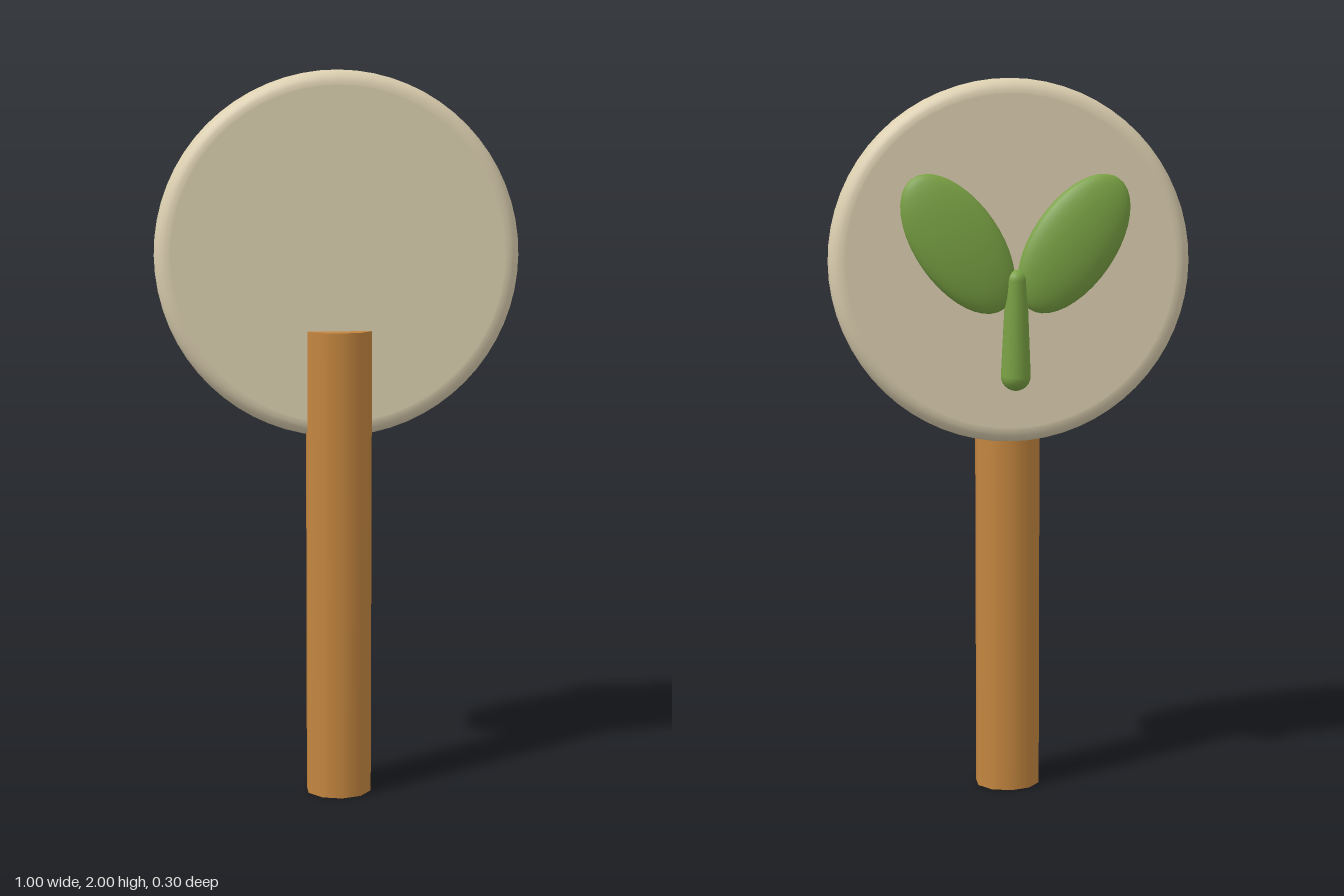
import * as THREE from 'three';

const material = (name, color) => {
  const m = new THREE.MeshStandardMaterial({ color });
  m.name = name;
  return m;
};

function addPart(group, name, geometry, mat, x, y, z) {
  const mesh = new THREE.Mesh(geometry, mat);
  mesh.name = name;
  mesh.position.set(x, y, z);
  group.add(mesh);
  return mesh;
}

// Adds a quarter-circle of profile points around (cx, cy)
function arc(points, cx, cy, r, from, to, steps = 6) {
  for (let i = 0; i <= steps; i++) {
    const a = from + (to - from) * i / steps;
    points.push(new THREE.Vector2(Math.max(0, cx + r * Math.cos(a)), cy + r * Math.sin(a)));
  }
}

export function createModel() {
  const group = new THREE.Group();
  group.name = 'signPost';
  const wood = material('wood', 0xc4863f);
  const cream = material('cream', 0xdccfb0);
  const green = material('leafGreen', 0x7aa244);
  const Q = Math.PI / 2;

  // Ten-sided post, slightly flattened front to back
  const post = addPart(group, 'post', new THREE.CylinderGeometry(0.0925, 0.0925, 1.3, 10), wood, 0, 0.65, 0.066);
  post.scale.z = 0.9;

  // Round board with softened rims and flat faces
  const R = 0.498, half = 0.065, bevel = 0.04;
  const rim = [new THREE.Vector2(0, -half), new THREE.Vector2(R - bevel - 0.003, -half)];
  arc(rim, R - bevel, -half + bevel, bevel, -Q, 0);
  arc(rim, R - bevel, half - bevel, bevel, 0, Q);
  rim.push(new THREE.Vector2(R - bevel - 0.003, half), new THREE.Vector2(0, half));
  const boardGeometry = new THREE.LatheGeometry(rim, 64);
  boardGeometry.rotateX(Q);
  const board = addPart(group, 'roundBoard', boardGeometry, cream, 0, 1.503, 0.022);
  board.scale.y = 0.997;

  // Tapered stem with rounded ends, leaning slightly away from the board
  const profile = [];
  arc(profile, 0, 0.041, 0.041, -Q, 0);
  arc(profile, 0, 0.30, 0.029, 0, Q);
  const stem = addPart(group, 'stem', new THREE.LatheGeometry(profile, 20), green, 0, 1.16, -0.098);
  stem.rotation.x = -0.045;

  // Mirrored pair of flattened leaves
  for (const side of [-1, 1]) {
    const leaf = addPart(group, side > 0 ? 'leftLeaf' : 'rightLeaf',
      new THREE.SphereGeometry(1, 32, 20), green, side * 0.157, 1.557, -0.109);
    leaf.scale.set(0.115, 0.213, 0.04);
    leaf.rotation.z = -side * 0.61;
  }
  return group;
}
